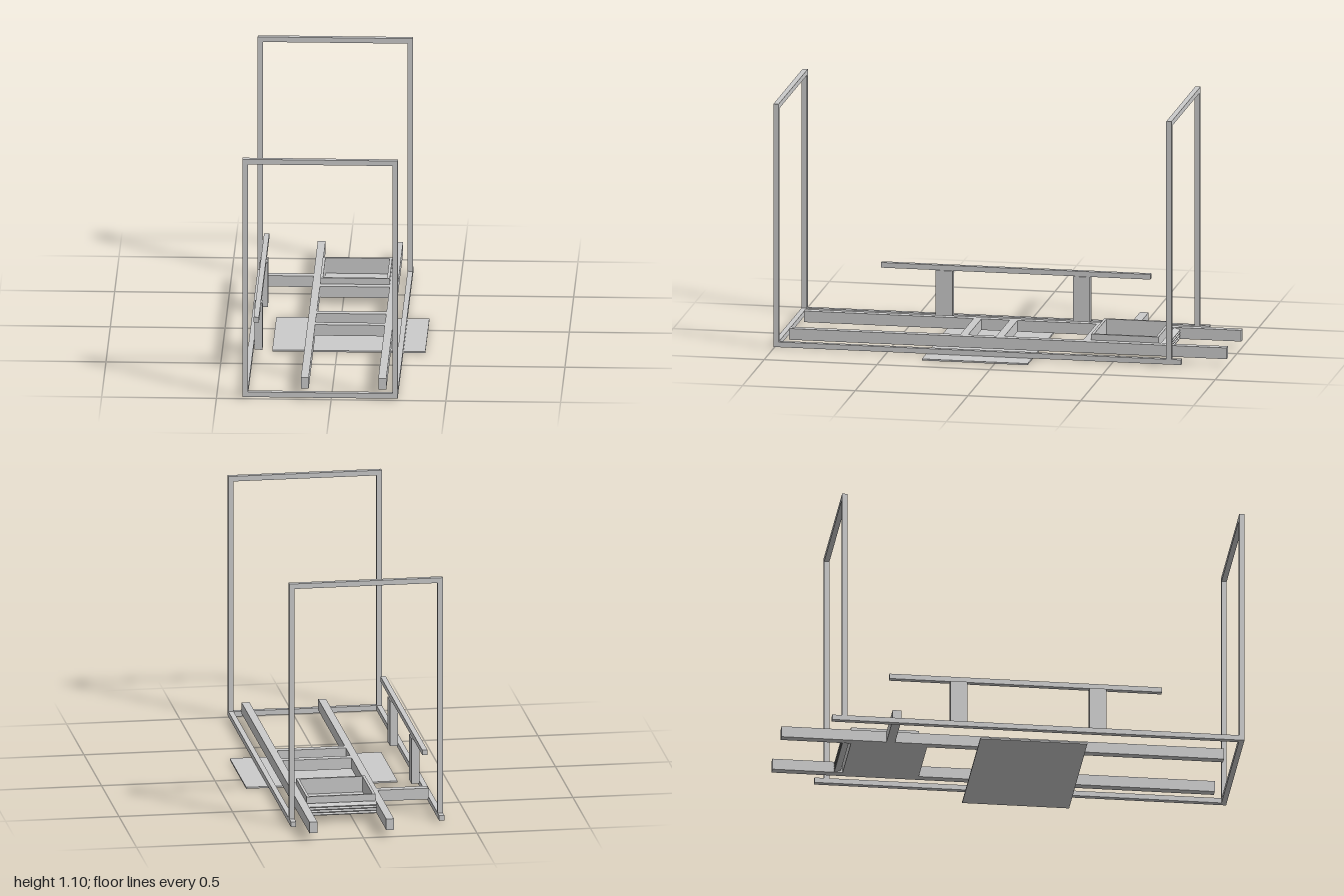
import * as THREE from 'three';

const material = new THREE.MeshStandardMaterial({ color: 0xcccccc, flatShading: true });

export function createModel() {
  const model = new THREE.Group();
  model.name = 'chassisFrame';

  // Box given by its extents along each axis
  function bar(name, [x0, x1], [y0, y1], [z0, z1], parent = model) {
    const mesh = new THREE.Mesh(new THREE.BoxGeometry(x1 - x0, y1 - y0, z1 - z0), material);
    mesh.position.set((x0 + x1) / 2, (y0 + y1) / 2, (z0 + z1) / 2);
    mesh.name = name;
    parent.add(mesh);
    return mesh;
  }

  const rightSide = [-0.386, -0.363], leftSide = [0.267, 0.29];
  const baseY = [0.01, 0.033], beamY = [0.033, 0.083], inner = [-0.1, 0.203];

  // Outer base frame
  bar('rightSideRail', rightSide, baseY, [-0.808, 0.977]);
  bar('leftSideRail', leftSide, baseY, [-0.808, 0.977]);
  bar('frontSill', [rightSide[0], leftSide[1]], baseY, [0.977, 1]);

  // Tall front and rear hoops
  for (const [name, z] of [['front', [0.977, 1]], ['rear', [-0.765, -0.742]]]) {
    const hoop = new THREE.Group();
    hoop.name = name + 'Hoop';
    model.add(hoop);
    bar('rightPost', rightSide, [0.033, 1.074], z, hoop);
    bar('leftPost', leftSide, [0.033, 1.074], z, hoop);
    bar('topBar', [rightSide[0], leftSide[1]], [1.074, 1.097], z, hoop);
  }

  // Long main beams with crossmembers between them
  bar('rightBeam', [-0.134, inner[0]], beamY, [-1, 0.94]);
  bar('leftBeam', [inner[1], 0.238], beamY, [-1, 0.94]);
  for (const z of [[-0.393, -0.358], [-0.008, 0.027], [0.152, 0.187]])
    bar('crossmember', inner, beamY, z);

  // Open tray near the rear
  const tray = new THREE.Group();
  tray.name = 'tray';
  model.add(tray);
  const trayY = [0.033, 0.11], z0 = -0.692, z1 = -0.393, wall = 0.012;
  bar('trayFloor', inner, [0.033, 0.04], [z0, z1], tray);
  bar('trayRearWall', inner, trayY, [z0, z0 + wall], tray);
  bar('trayFrontWall', inner, trayY, [z1 - wall, z1], tray);
  bar('trayRightWall', [inner[0], inner[0] + wall], trayY, [z0 + wall, z1 - wall], tray);
  bar('trayLeftWall', [inner[1] - wall, inner[1]], trayY, [z0 + wall, z1 - wall], tray);

  // Tilted slats behind the tray
  for (let i = 0; i < 4; i++) {
    const y = 0.04 + i * 0.012;
    bar('slat', inner, [y - 0.002, y + 0.002], [-0.73, -0.7]).rotation.x = -0.3;
  }

  // Side handrail on two posts, with an outrigger from the main beam
  bar('outrigger', [-0.357, -0.134], beamY, [-0.54, -0.502]);
  for (const z of [[-0.286, -0.212], [0.324, 0.398]])
    bar('handrailPost', [-0.357, -0.322], [0.033, 0.237], z);
  bar('handrail', [-0.351, -0.328], [0.237, 0.26], [-0.553, 0.642]);

  // Thin plate under the middle
  bar('underPlate', [-0.282, 0.385], [0.002, 0.009], [-0.146, 0.323]);

  return model;
}
